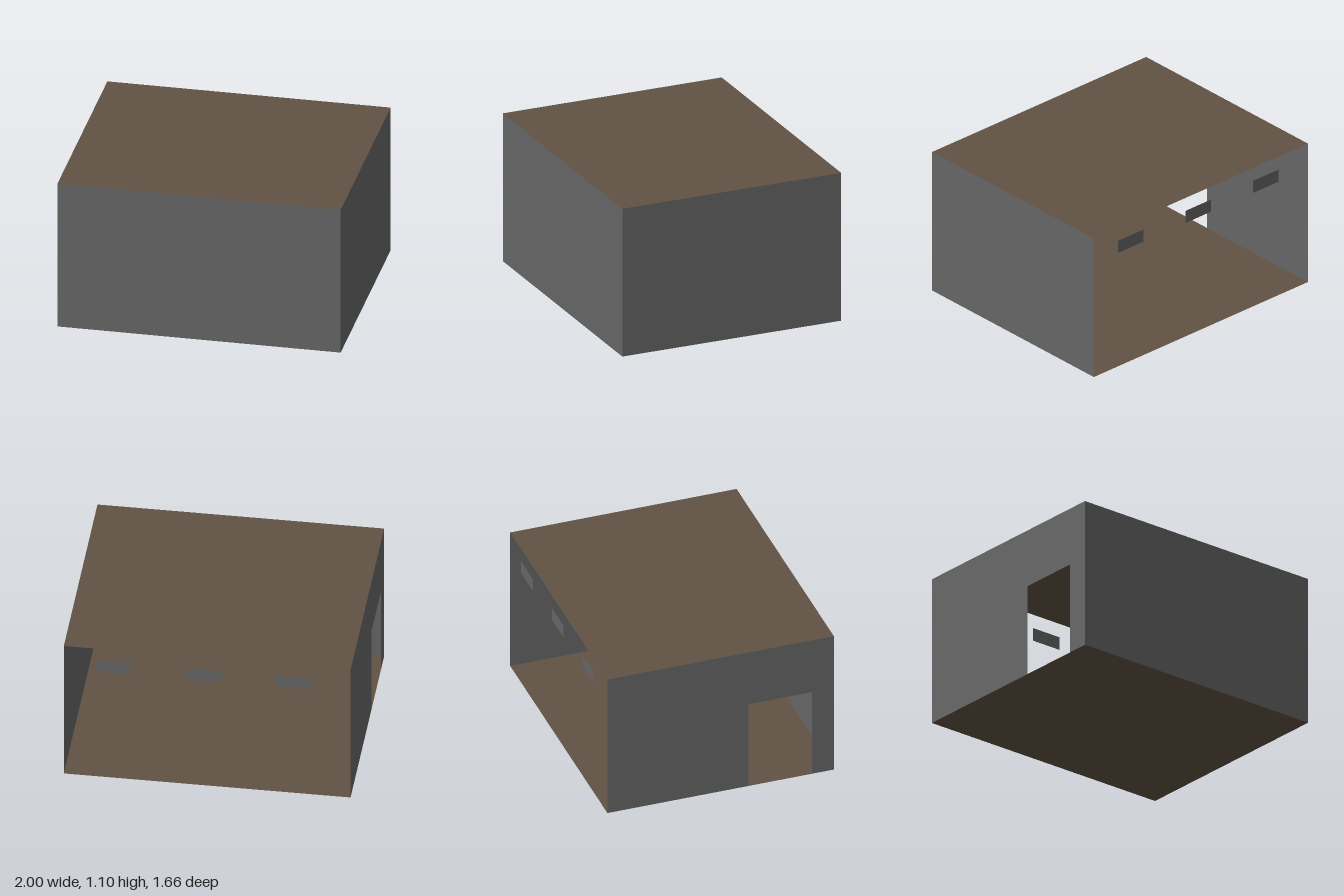
import * as THREE from 'three';

const W = 2, D = 1.66, H = 1.095;

export function createModel() {
  const model = new THREE.Group();
  model.name = 'openRoom';

  const grey = new THREE.MeshStandardMaterial({ color: 0x666666, side: THREE.DoubleSide });
  grey.name = 'wall grey';
  const brown = new THREE.MeshStandardMaterial({ color: 0x615345, side: THREE.DoubleSide });
  brown.name = 'floor brown';

  function add(name, geometry, material, x, y, z) {
    const mesh = new THREE.Mesh(geometry, material);
    mesh.name = name;
    mesh.position.set(x, y, z);
    model.add(mesh);
    return mesh;
  }

  // Floor and flat roof
  const slab = new THREE.PlaneGeometry(W, D).rotateX(-Math.PI / 2);
  add('floor', slab, brown, 0, 0, 0);
  add('roof', slab, brown, 0, H, 0);

  // Closed front wall and left wall; the back stays open
  add('frontWall', new THREE.PlaneGeometry(W, H), grey, 0, H / 2, D / 2);
  add('leftWall', new THREE.PlaneGeometry(D, H).rotateY(Math.PI / 2), grey, W / 2, H / 2, 0);

  // Right wall with a doorway cut up from the floor, outlined in z and y
  const outline = [
    [-D / 2, 0], [0.205, 0], [0.205, 0.67], [0.67, 0.67],
    [0.67, 0], [D / 2, 0], [D / 2, H], [-D / 2, H],
  ].map(([z, y]) => new THREE.Vector2(z, y));
  const doorWall = new THREE.ShapeGeometry(new THREE.Shape(outline)).rotateY(-Math.PI / 2);
  add('rightWallWithDoorway', doorWall, grey, -W / 2, 0, 0);

  // Three small panels in the plane of the open back
  const panel = new THREE.PlaneGeometry(0.24, 0.096).rotateY(Math.PI);
  for (let i = 0; i < 3; i++) {
    add('backPanel' + (i + 1), panel, grey, 0.655 - i * 0.63, 0.945, -D / 2);
  }

  return model;
}
